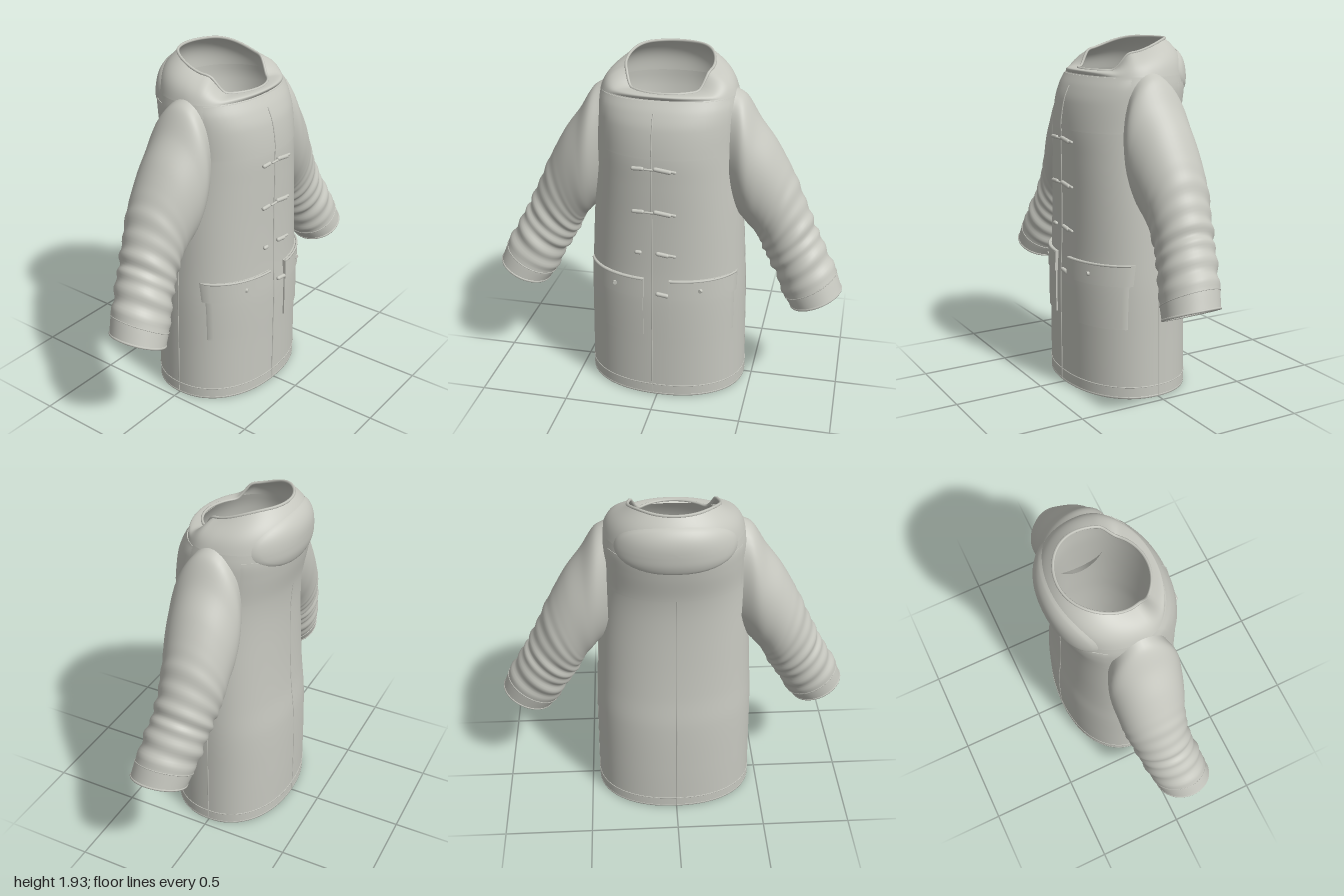
import * as THREE from 'three';
import { toCreasedNormals } from 'three/addons/utils/BufferGeometryUtils.js';

const cloth = new THREE.MeshStandardMaterial({ color: 0xc6c7bf, side: THREE.DoubleSide });
cloth.name = 'grey cloth';
const V = (x, y, z) => new THREE.Vector3(x, y, z);
const { clamp, lerp, smoothstep } = THREE.MathUtils;
const spow = (a, p) => Math.sign(a) * Math.abs(a) ** p;

// Smooth lookup in a table whose first column is the key
function interp(table, key) {
  let i = 0;
  while (i < table.length - 2 && key > table[i + 1][0]) i++;
  const a = table[i], b = table[i + 1], p = table[Math.max(i - 1, 0)], n = table[Math.min(i + 2, table.length - 1)];
  const h = b[0] - a[0], t = clamp((key - a[0]) / h, 0, 1);
  return a.map((_, k) => {
    const m0 = (b[k] - p[k]) / (b[0] - p[0]) * h, m1 = (n[k] - a[k]) / (n[0] - a[0]) * h;
    return (2 * t ** 3 - 3 * t * t + 1) * a[k] + (t ** 3 - 2 * t * t + t) * m0
      + (3 * t * t - 2 * t ** 3) * b[k] + (t ** 3 - t * t) * m1;
  });
}

// Grid surface from fn(u, v); closed joins the last column to the first
function loft(fn, nu, nv, closed, flip = false) {
  const pos = [], idx = [], cols = closed ? nu : nu + 1;
  for (let j = 0; j <= nv; j++)
    for (let i = 0; i < cols; i++) pos.push(...fn(i / nu, j / nv).toArray());
  for (let j = 0; j < nv; j++)
    for (let i = 0; i < nu; i++) {
      const k = (i + 1) % cols, a = j * cols + i, b = j * cols + k, c = b + cols, d = a + cols;
      idx.push(...(flip ? [a, c, b, a, d, c] : [a, b, c, a, c, d]));
    }
  const g = new THREE.BufferGeometry();
  g.setAttribute('position', new THREE.Float32BufferAttribute(pos, 3));
  g.setIndex(idx);
  g.computeVertexNormals();
  return g;
}

// Body sections: height, half width, front depth, back depth
const SECTIONS = [
  [0, 0.455, 0.35, 0.33], [0.3, 0.45, 0.35, 0.33], [0.6, 0.445, 0.35, 0.322], [0.8, 0.435, 0.342, 0.302],
  [1.05, 0.42, 0.338, 0.288], [1.3, 0.4, 0.338, 0.284], [1.45, 0.39, 0.335, 0.295], [1.6, 0.388, 0.312, 0.325],
  [1.68, 0.385, 0.28, 0.337], [1.74, 0.372, 0.242, 0.338]];
const N = 2.2, NECK = 1.74;

function bodyPoint(a, y, inset = 0) {
  const [, rx, zf, zb] = interp(SECTIONS, y);
  const c = Math.cos(a);
  return V((rx - inset) * spow(Math.sin(a), 2 / N), y, ((c > 0 ? zf : zb) - inset) * spow(c, 2 / N));
}
function bodyZ(x, y, side) {
  const [, rx, zf, zb] = interp(SECTIONS, y);
  return side * (side > 0 ? zf : zb) * Math.max(0, 1 - Math.abs(x / rx) ** N) ** (1 / N);
}
// Collar: from the neck section to an oval rim that drops at the front
function collarPoint(a, v, inset = 0) {
  const base = bodyPoint(a, NECK, inset), s = Math.sin(a), c = Math.cos(a);
  const z = -0.025 + 0.237 * c;
  const top = 1.765 + 0.09 * (1 - smoothstep(z, 0.05, 0.14)) + 0.07 * (1 - smoothstep(z, -0.22, 0.08));
  const p = base.lerp(V(0.238 * s, top, z), v), bulge = 0.024 * Math.sin(Math.PI * v);
  return p.add(V(s * bulge, bulge * 0.4, c * bulge));
}
const coatPoint = (a, h, inset) => h <= NECK ? bodyPoint(a, h, inset) : collarPoint(a, (h - NECK) / 0.19, inset);

// Sleeve sections: position, outer x y, inner x y, front z, back z
const SLEEVE = [
  [0, 0.355, 1.765, 0.36, 1.08, 0.17, -0.17], [0.1, 0.42, 1.72, 0.42, 1.03, 0.2, -0.195],
  [0.22, 0.495, 1.6, 0.455, 0.99, 0.2, -0.2], [0.36, 0.59, 1.47, 0.485, 0.955, 0.185, -0.195],
  [0.52, 0.7, 1.27, 0.515, 0.9, 0.163, -0.185], [0.68, 0.8, 1.05, 0.56, 0.81, 0.16, -0.155],
  [0.8, 0.86, 0.93, 0.615, 0.72, 0.18, -0.135], [0.91, 0.94, 0.79, 0.665, 0.61, 0.205, -0.11],
  [1, 0.99, 0.665, 0.715, 0.54, 0.22, -0.085]];
function sleevePoint(s, a, t, scale = 1) {
  const [, ox, oy, ix, iy, zf, zb] = interp(SLEEVE, t);
  const c = Math.cos(a), sn = Math.sin(a);
  // gathered folds toward the cuff
  const amount = smoothstep(t, 0.4, 0.72) * (1 - smoothstep(t, 0.88, 0.94));
  const k = scale * (1 + amount * (0.035 * Math.sin(t * 85 + 0.9 * sn) + 0.02 * Math.sin(t * 47 + 2 * c)));
  return V(s * ((ox + ix) / 2 + (ox - ix) / 2 * c * k), (oy + iy) / 2 + (oy - iy) / 2 * c * k,
    (zf + zb) / 2 + (zf - zb) / 2 * sn * k);
}

// Raised cloth panel lying on the front (side 1) or back (side -1)
function panel(x0, x1, y0, y1, lift, side = 1) {
  const n = 24;
  const g = loft((u, v) => {
    const i = Math.round(u * n), j = Math.round(v * n);
    const edge = i === 0 || j === 0 || i === n || j === n;
    const x = lerp(x0, x1, clamp((i - 1) / (n - 2), 0, 1)), y = lerp(y0, y1, clamp((j - 1) / (n - 2), 0, 1));
    return V(x, y, bodyZ(x, y, side) + side * (edge ? -0.004 : lift));
  }, n, n, false, side < 0);
  return toCreasedNormals(g, 0.7);
}

export function createModel() {
  const coat = new THREE.Group();
  coat.name = 'coat';
  const add = (name, geo, parent = coat) => {
    const m = new THREE.Mesh(geo, cloth);
    m.name = name;
    parent.add(m);
    return m;
  };
  const tube = (name, fn, n, r, closed) => {
    const pts = Array.from({ length: closed ? n : n + 1 }, (_, i) => fn(i / n));
    return add(name, new THREE.TubeGeometry(new THREE.CatmullRomCurve3(pts, closed), n * 2, r, 6, closed));
  };
  const TAU = Math.PI * 2;

  // Body and collar, outside and lining
  for (const [name, inset] of [['Outer', 0], ['Lining', 0.018]]) {
    add('body' + name, loft((u, v) => bodyPoint(u * TAU, 0.008 + v * (NECK - 0.008), inset), 96, 60, true, inset > 0));
    add('collar' + name, loft((u, v) => collarPoint(u * TAU, v, inset), 96, 14, true, inset > 0));
  }
  tube('hemEdge', u => bodyPoint(u * TAU, 0.01, 0.008), 64, 0.01, true);
  tube('hemStitch', u => bodyPoint(u * TAU, 0.07), 64, 0.003, true);
  tube('collarEdge', u => collarPoint(u * TAU, 1), 64, 0.008, true);

  // Folded hood resting on the back of the collar
  add('foldedHood', loft((u, v) => {
    const r = 1 - v, a = Math.PI + 0.98 * r * Math.cos(u * TAU), h = 1.755 + 0.125 * r * Math.sin(u * TAU);
    const d = 0.02 * Math.sqrt(1 - r * r) + 0.001;
    return coatPoint(a, h).add(V(Math.sin(a) * d, 0, Math.cos(a) * d));
  }, 48, 14, true, true));

  // Yokes and seams
  add('frontYoke', panel(-0.375, 0.375, 1.45, 1.735, 0.006));
  add('backYoke', panel(-0.375, 0.375, 1.45, 1.7, 0.005, -1));
  tube('frontSeam', v => V(-0.025, lerp(0.01, 1.68, v), bodyZ(-0.025, lerp(0.01, 1.68, v), 1) + (v > 0.86 ? 0.006 : 0)), 40, 0.004, false);
  tube('backSeam', v => bodyPoint(Math.PI, lerp(0.01, 1.45, v)), 30, 0.003, false);

  for (const s of [1, -1]) {
    const side = s > 0 ? 'left' : 'right';
    tube(side + 'SideSeam', v => bodyPoint(s * Math.PI / 2, lerp(0.01, 1.05, v)), 24, 0.003, false);

    // Sleeve with lining and cuff
    add(side + 'Sleeve', loft((u, v) => sleevePoint(s, u * TAU, v), 48, 90, true, s < 0));
    add(side + 'SleeveLining', loft((u, v) => sleevePoint(s, u * TAU, 0.3 + v * 0.7, 0.9), 40, 40, true, s > 0));
    add(side + 'CuffRim', loft((u, v) => sleevePoint(s, u * TAU, 1, 1 - 0.1 * v), 48, 1, true, s < 0));
    tube(side + 'CuffEdge', u => sleevePoint(s, u * TAU, 1, 0.98), 40, 0.007, true);
    tube(side + 'CuffStitch', u => sleevePoint(s, u * TAU, 0.935), 40, 0.003, true);

    // Patch pocket, flap and button
    const x = (a, b) => s > 0 ? [a, b] : [-b, -a];
    add(side + 'Pocket', panel(...x(0.075, 0.405), 0.4, 0.7, 0.009));
    add(side + 'PocketFlap', panel(...x(0.07, 0.415), 0.64, 0.755, 0.018));
    tube(side + 'FlapStitch', u => {
      const px = s * lerp(0.075, 0.41, u);
      return V(px, 0.752, bodyZ(px, 0.752, 1) + 0.016);
    }, 24, 0.007, false);
    const button = add(side + 'PocketButton', new THREE.CylinderGeometry(0.011, 0.013, 0.012, 16));
    button.rotation.set(Math.PI / 2, 0, s * 0.25);
    button.position.set(s * 0.24, 0.695, bodyZ(0.24, 0.695, 1) + 0.02);
  }

  // Toggle fastenings: cord end on the right, toggle and loop on the left
  const capsule = (name, x, y, length, r, tilt) => {
    const m = add(name, new THREE.CapsuleGeometry(r, length - 2 * r, 6, 12));
    m.position.set(x, y, bodyZ(x, y, 1) + 0.008);
    m.rotation.z = Math.PI / 2 + tilt;
  };
  [[1.395, 0.07], [1.15, 0.07], [0.908, 0.04], [0.665, 0]].forEach(([y, cord]) => {
    if (cord) capsule('cordEnd', -0.1, y, cord, 0.011, 0);
    if (y > 1) capsule('cordLoop', -0.01, y, 0.11, 0.006, 0);
    capsule('toggle', 0.035, y, y > 1 ? 0.1 : 0.075, 0.012, -0.14);
    if (y > 0.8) capsule('cordTail', 0.08, y - 0.004, 0.06, 0.008, -0.1);
  });
  return coat;
}
